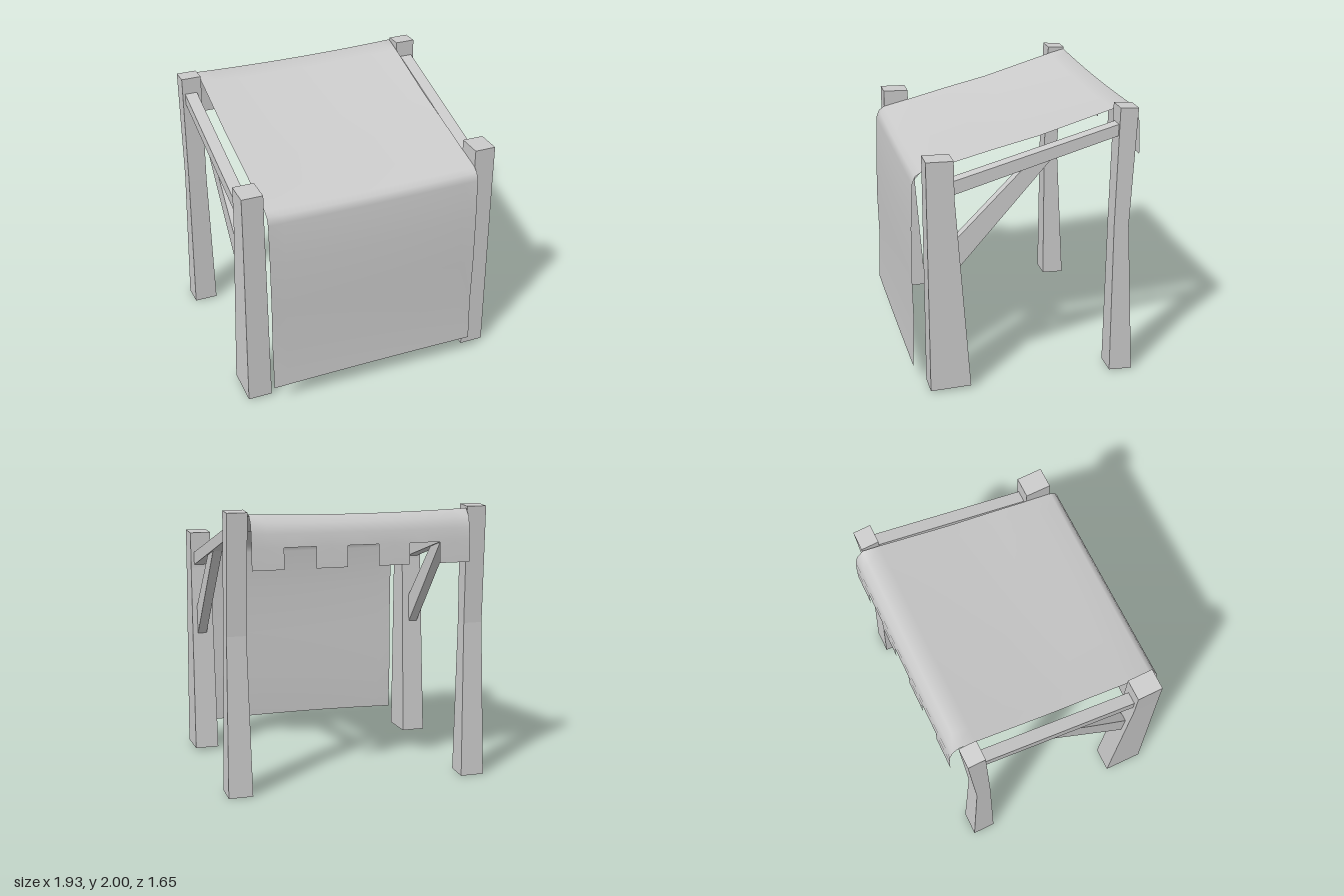
import * as THREE from 'three';

const grey = new THREE.MeshStandardMaterial({ color: 0xcccccc, flatShading: true });
const clothMat = new THREE.MeshStandardMaterial({ color: 0xcccccc, side: THREE.DoubleSide });

// Four-sided timber through rings [x0, x1, [z, y] of back edge, [z, y] of front edge]
function timber(name, rings, side) {
  const n = rings.length - 1;
  const box = new THREE.BoxGeometry(1, 1, 1, 1, n, 1);
  const p = box.attributes.position;
  for (let i = 0; i < p.count; i++) {
    const [inner, outer, back, front] = rings[Math.round((p.getY(i) + 0.5) * n)];
    const x = p.getX(i) * side > 0 ? outer : inner;
    const [z, y] = p.getZ(i) > 0 ? front : back;
    p.setXYZ(i, x * side, y, z);
  }
  const geo = box.toNonIndexed();
  geo.computeVertexNormals();
  const mesh = new THREE.Mesh(geo, grey);
  mesh.name = name;
  return mesh;
}

// Sheet draped over the frame, with a toothed hem at the back
function cloth() {
  // [z, y, sag in the middle, bulge in the middle] from the front hem over the roof to the back hem
  const profile = [
    [0.822, 0.135, -0.012, 0.006], [0.808, 0.48, 0, 0.005], [0.815, 0.85, 0, 0.005],
    [0.81, 1.2, 0, 0.004], [0.797, 1.52, 0.005, 0], [0.775, 1.575, 0.01, 0],
    [0.735, 1.602, 0.012, 0], [0.54, 1.648, 0.015, 0], [0.24, 1.722, 0.018, 0],
    [-0.09, 1.797, 0.02, 0], [-0.62, 1.95, 0.02, 0], [-0.745, 1.98, 0.016, 0],
    [-0.795, 1.925, 0.012, 0], [-0.815, 1.85, 0.005, 0],
    [-0.822, 1.755, 0, 0], [-0.825, 1.605, 0, 0],
  ];
  const teeth = 7, perTooth = 2, cols = teeth * perTooth, half = 0.793;
  const pos = [], index = [];
  for (const [z, y, sag, bulge] of profile) {
    for (let c = 0; c <= cols; c++) {
      const u = (c / cols) * 2 - 1, m = 1 - u * u;
      pos.push(u * half, y - sag * m, z + bulge * m);
    }
  }
  for (let r = 0; r < profile.length - 1; r++) {
    for (let c = 0; c < cols; c++) {
      const gap = Math.floor(c / perTooth) % 2 === 1;
      if (r === profile.length - 2 && gap) continue;
      const a = r * (cols + 1) + c, d = a + cols + 1;
      index.push(a, a + 1, d, a + 1, d + 1, d);
    }
  }
  const geo = new THREE.BufferGeometry();
  geo.setAttribute('position', new THREE.Float32BufferAttribute(pos, 3));
  geo.setIndex(index);
  geo.computeVertexNormals();
  const mesh = new THREE.Mesh(geo, clothMat);
  mesh.name = 'canopyCloth';
  return mesh;
}

export function createModel() {
  const group = new THREE.Group();
  group.name = 'canopyStall';

  for (const side of [1, -1]) {
    const label = side > 0 ? 'left' : 'right';
    group.add(
      // Short front post, flaring backward toward the foot
      timber(label + 'FrontPost', [
        [0.785, 0.963, [0.437, 0.02], [0.73, 0.012]],
        [0.797, 0.952, [0.538, 1.45], [0.73, 1.45]],
        [0.797, 0.952, [0.54, 1.72], [0.73, 1.725]],
      ], side),
      // Tall back post, narrowest near the middle
      timber(label + 'BackPost', [
        [0.79, 0.965, [-0.77, 0], [-0.6, 0.008]],
        [0.81, 0.95, [-0.71, 1.14], [-0.602, 1.14]],
        [0.8, 0.945, [-0.75, 1.992], [-0.62, 2]],
      ], side),
      // Sloping rail joining the posts
      timber(label + 'Rail', [
        [0.837, 0.927, [0.56, 1.465], [0.56, 1.563]],
        [0.837, 0.927, [-0.64, 1.803], [-0.64, 1.885]],
      ], side),
      // Diagonal brace from front post to rail
      timber(label + 'Brace', [
        [0.848, 0.916, [0.5, 0.935], [0.525, 1.14]],
        [0.848, 0.916, [-0.14, 1.66], [0.05, 1.615]],
      ], side),
    );
  }
  group.add(cloth());
  return group;
}
